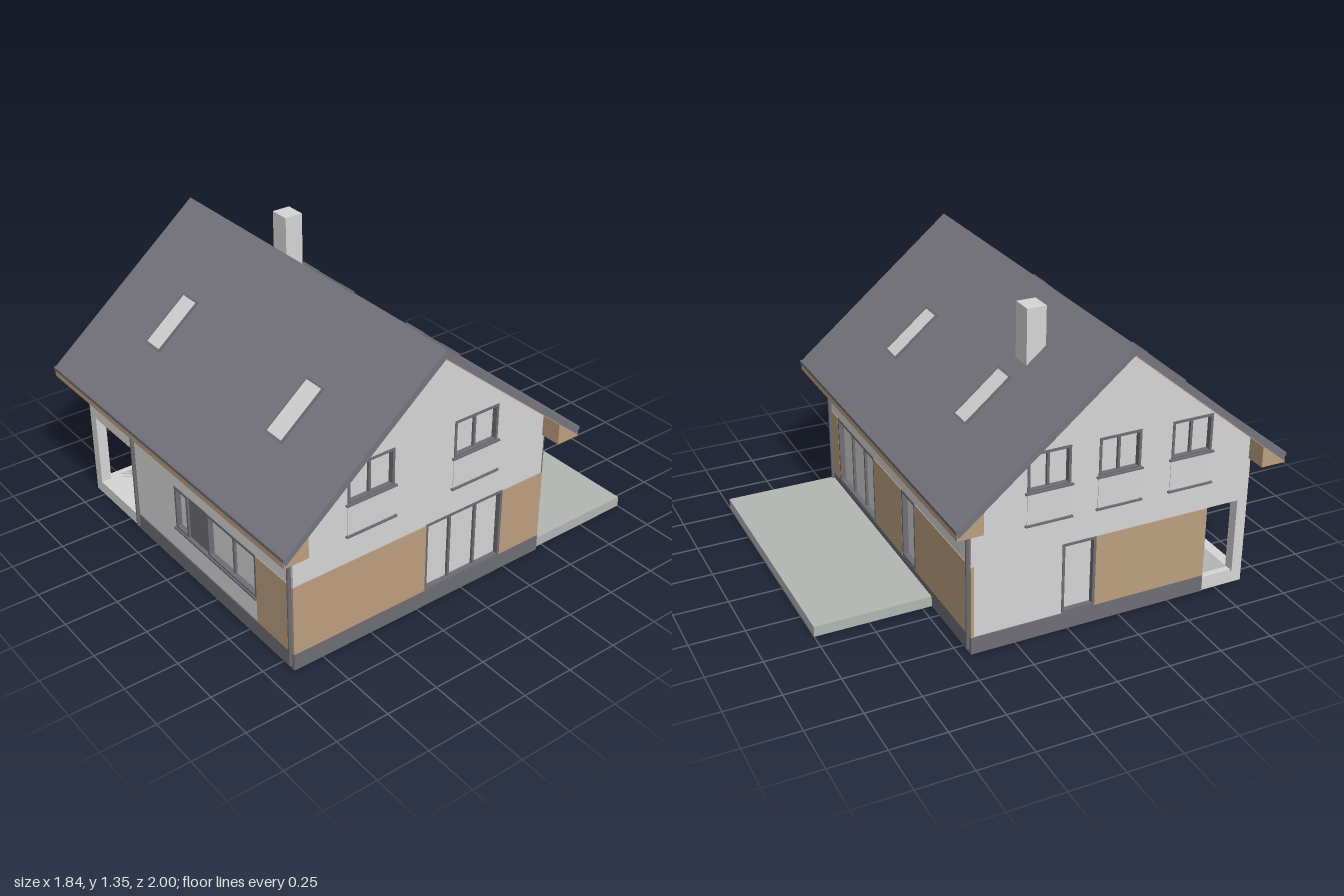
import * as THREE from 'three';

const mat = (name, color) => {
  const m = new THREE.MeshStandardMaterial({ color });
  m.name = name;
  return m;
};

export function createModel() {
  const render = mat('wall render', 0xd6d6d6);
  const brick = mat('tan brick and timber', 0xbc9f80);
  const dark = mat('slate roof', 0x76757e);
  const frame = mat('frame grey', 0x6e6e75);
  const glass = mat('pale glass', 0xd4d5d4);
  const paving = mat('paving', 0xb4b6b4);

  const house = new THREE.Group();
  house.name = 'house';

  const add = (parent, name, geo, material) => {
    const m = new THREE.Mesh(geo, material);
    m.name = name;
    parent.add(m);
    return m;
  };
  // Box given by its extents on each axis
  const box = (parent, name, material, x0, x1, y0, y1, z0, z1) => {
    const m = add(parent, name, new THREE.BoxGeometry(x1 - x0, y1 - y0, z1 - z0), material);
    m.position.set((x0 + x1) / 2, (y0 + y1) / 2, (z0 + z1) / 2);
    return m;
  };
  // (z, y) profile swept along x, symmetric about x = 0
  const prism = (name, material, pts, half) => {
    const shape = new THREE.Shape(pts.map(([z, y]) => new THREE.Vector2(-z, y)));
    const geo = new THREE.ExtrudeGeometry(shape, { depth: 2 * half, bevelEnabled: false });
    geo.rotateY(Math.PI / 2).translate(-half, 0, 0);
    return add(house, name, geo, material);
  };

  // One facade: local x runs along the wall, local z = 0 is its outer face
  const T = 0.05;
  const facade = (name, angle, dist, outline, openings) => {
    const g = new THREE.Group();
    g.name = name;
    g.rotation.y = angle;
    g.position.set(Math.sin(angle) * dist, 0, Math.cos(angle) * dist);
    house.add(g);
    const shape = new THREE.Shape(outline.map(p => new THREE.Vector2(...p)));
    for (const [a, b, c, d] of openings) {
      shape.holes.push(new THREE.Path([[a, c], [a, d], [b, d], [b, c]].map(p => new THREE.Vector2(...p))));
    }
    const geo = new THREE.ExtrudeGeometry(shape, { depth: T, bevelEnabled: false });
    add(g, name + 'Wall', geo.translate(0, 0, -T), render);
    return g;
  };
  // Framed glazing with evenly split panes (or given mullions)
  const glazing = (g, name, [a, b, c, d], panes) => {
    const w = 0.012, z0 = -0.03, z1 = 0.003;
    box(g, name + 'Glass', glass, a, b, c, d, -0.04, -0.022);
    box(g, name + 'FrameBottom', frame, a, b, c, c + w, z0, z1);
    box(g, name + 'FrameTop', frame, a, b, d - w, d, z0, z1);
    box(g, name + 'FrameSide', frame, a, a + w, c, d, z0, z1);
    box(g, name + 'FrameSide', frame, b - w, b, c, d, z0, z1);
    for (let i = 1; i < panes; i++) {
      const u = a + (b - a) * i / panes;
      box(g, name + 'Mullion', frame, u - w / 2, u + w / 2, c, d, z0, -0.01);
    }
  };
  // Upper window with a parapet panel and sill below
  const upperWindow = (g, o) => {
    glazing(g, 'upperWindow', o, 2);
    box(g, 'parapetPanel', glass, o[0], o[1], 0.555, 0.7, -0.01, 0.003);
    box(g, 'windowRail', frame, o[0] - 0.01, o[1] + 0.01, 0.697, 0.705, -0.01, 0.012);
    box(g, 'windowSill', frame, o[0] - 0.01, o[1] + 0.01, 0.547, 0.555, -0.01, 0.012);
  };
  const bricks = (g, a, b) => box(g, 'brickPanel', brick, a, b, 0.08, 0.42, -0.01, 0.004);
  const plinth = (g, a, b) => box(g, 'plinth', frame, a, b, 0, 0.08, -0.01, 0.005);

  const long = [[-0.82, 0], [0.82, 0], [0.82, 0.7], [-0.82, 0.7]];
  const gable = s => [[-0.89, 0.727], [-0.89, 0], [0.45, 0], [0.45, 0.727], [-0.22, 1.28]]
    .map(([u, y]) => [u * s, y]);

  // Front with porch opening and window band
  const band = [-0.07, 0.56, 0.2, 0.42];
  const front = facade('front', 0, 0.89, long, [[-0.77, -0.42, 0.06, 0.42], band]);
  glazing(front, 'smallWindow', [-0.07, 0.035, 0.2, 0.42], 1);
  box(front, 'infillPanel', frame, 0.035, 0.19, 0.2, 0.42, -0.04, -0.008);
  glazing(front, 'wideWindow', [0.19, 0.56, 0.2, 0.42], 2);
  box(front, 'frontSill', frame, -0.075, 0.56, 0.193, 0.203, -0.03, 0.01);
  bricks(front, 0.56, 0.824);
  plinth(front, -0.42, 0.824);

  // Right gable
  const rUp = [[-0.62, -0.385, 0.7, 0.88], [-0.07, 0.17, 0.7, 0.88]];
  const rDoor = [-0.21, 0.22, 0.075, 0.425];
  const right = facade('right', Math.PI / 2, 0.82, gable(1), [...rUp, rDoor]);
  rUp.forEach(o => upperWindow(right, o));
  glazing(right, 'slidingDoor', rDoor, 3);
  bricks(right, -0.89, -0.21);
  bricks(right, 0.22, 0.45);
  plinth(right, -0.89, 0.45);

  // Left gable with the porch side opening
  const lUp = [[-0.2, 0, 0.7, 0.88], [0.13, 0.33, 0.7, 0.88], [0.48, 0.68, 0.7, 0.88]];
  const lDoor = [-0.03, 0.13, 0.08, 0.42];
  const left = facade('left', -Math.PI / 2, 0.82, gable(-1), [...lUp, lDoor, [0.68, 0.84, 0.06, 0.42]]);
  lUp.forEach(o => upperWindow(left, o));
  glazing(left, 'sideWindow', lDoor, 1);
  bricks(left, 0.13, 0.68);
  plinth(left, -0.45, 0.68);

  // Back with terrace doors
  const bSlide = [-0.715, -0.24, 0.075, 0.42], bDoor = [0.09, 0.24, 0.08, 0.42];
  const back = facade('back', Math.PI, 0.45, long, [bSlide, bDoor]);
  glazing(back, 'terraceDoor', bSlide, 3);
  glazing(back, 'backDoor', bDoor, 1);
  box(back, 'backDoorHandle', frame, 0.205, 0.222, 0.22, 0.228, -0.022, -0.005);
  bricks(back, -0.824, -0.715);
  bricks(back, -0.24, 0.09);
  bricks(back, 0.24, 0.824);
  plinth(back, -0.824, 0.824);

  // Porch recess, entrance door and floor slab
  box(house, 'porchBackWall', render, -0.8, -0.4, 0, 0.46, 0.65, 0.68);
  box(house, 'porchSideWall', render, -0.42, -0.39, 0, 0.46, 0.65, 0.87);
  box(house, 'porchCeiling', render, -0.8, -0.4, 0.42, 0.45, 0.66, 0.87);
  box(house, 'porchFloor', render, -0.81, -0.42, 0.001, 0.06, 0.66, 0.88);
  box(house, 'entranceDoor', brick, -0.69, -0.54, 0.06, 0.418, 0.675, 0.688);
  box(house, 'doorHandle', frame, -0.68, -0.657, 0.22, 0.228, 0.688, 0.7);
  box(house, 'doorLock', frame, -0.682, -0.674, 0.205, 0.233, 0.688, 0.693);
  box(house, 'floorSlab', paving, -0.78, 0.78, 0.02, 0.06, -0.41, 0.85);
  box(house, 'terrace', paving, -0.42, 0.81, 0, 0.05, -1, -0.445);

  // Roof, timber lining and boxed eaves
  prism('roof', dark, [[1, 0.66], [0.22, 1.31], [-0.56, 0.66], [-0.55, 0.632], [0.22, 1.268], [0.99, 0.632]], 0.92);
  prism('roofLining', brick, [[0.99, 0.634], [0.22, 1.27], [-0.55, 0.634], [-0.55, 0.628], [0.22, 1.264], [0.99, 0.628]], 0.915);
  for (const s of [1, -1]) {
    const z = d => 0.22 + s * d;
    prism('eaveBox', brick, [[z(0.77), 0.62], [z(0.66), 0.62], [z(0.66), 0.722], [z(0.77), 0.632]], 0.917);
    const fascia = box(house, 'fascia', brick, -0.918, 0.918, 0.62, 0.655, 0, 0.01);
    fascia.position.z = z(0.772);
    const gutter = box(house, 'gutter', frame, -0.92, 0.92, 0.652, 0.668, 0, 0.014);
    gutter.position.z = z(0.775);
  }

  // Downpipes
  for (const [x, z] of [[-0.41, 0.9], [0.805, 0.9], [-0.805, -0.46], [0.805, -0.46]]) {
    const p = add(house, 'downpipe', new THREE.CylinderGeometry(0.009, 0.009, 0.61, 12), frame);
    p.position.set(x, 0.325, z);
  }

  // Skylights lying on both slopes
  const pitch = Math.atan2(0.65, 0.78);
  for (const [x, z] of [[-0.455, 0.625], [0.48, 0.625], [-0.407, -0.2], [0.35, -0.2]]) {
    const g = new THREE.Group();
    g.name = 'skylight';
    const d = z - 0.22;
    g.position.set(x, 1.31 - Math.abs(d) * 0.65 / 0.78, z);
    g.rotation.x = Math.sign(d) * pitch;
    house.add(g);
    box(g, 'skylightGlass', glass, -0.052, 0.052, -0.01, 0.008, -0.132, 0.132);
    for (const s of [1, -1]) {
      const end = box(g, 'skylightEnd', frame, -0.058, 0.058, -0.01, 0.013, -0.005, 0.005);
      end.position.z = s * 0.135;
      const rail = box(g, 'skylightRail', frame, -0.003, 0.003, -0.01, 0.011, -0.135, 0.135);
      rail.position.x = s * 0.054;
    }
  }

  // Chimney
  box(house, 'chimney', render, -0.48, -0.38, 1, 1.35, -0.035, 0.055);

  return house;
}
